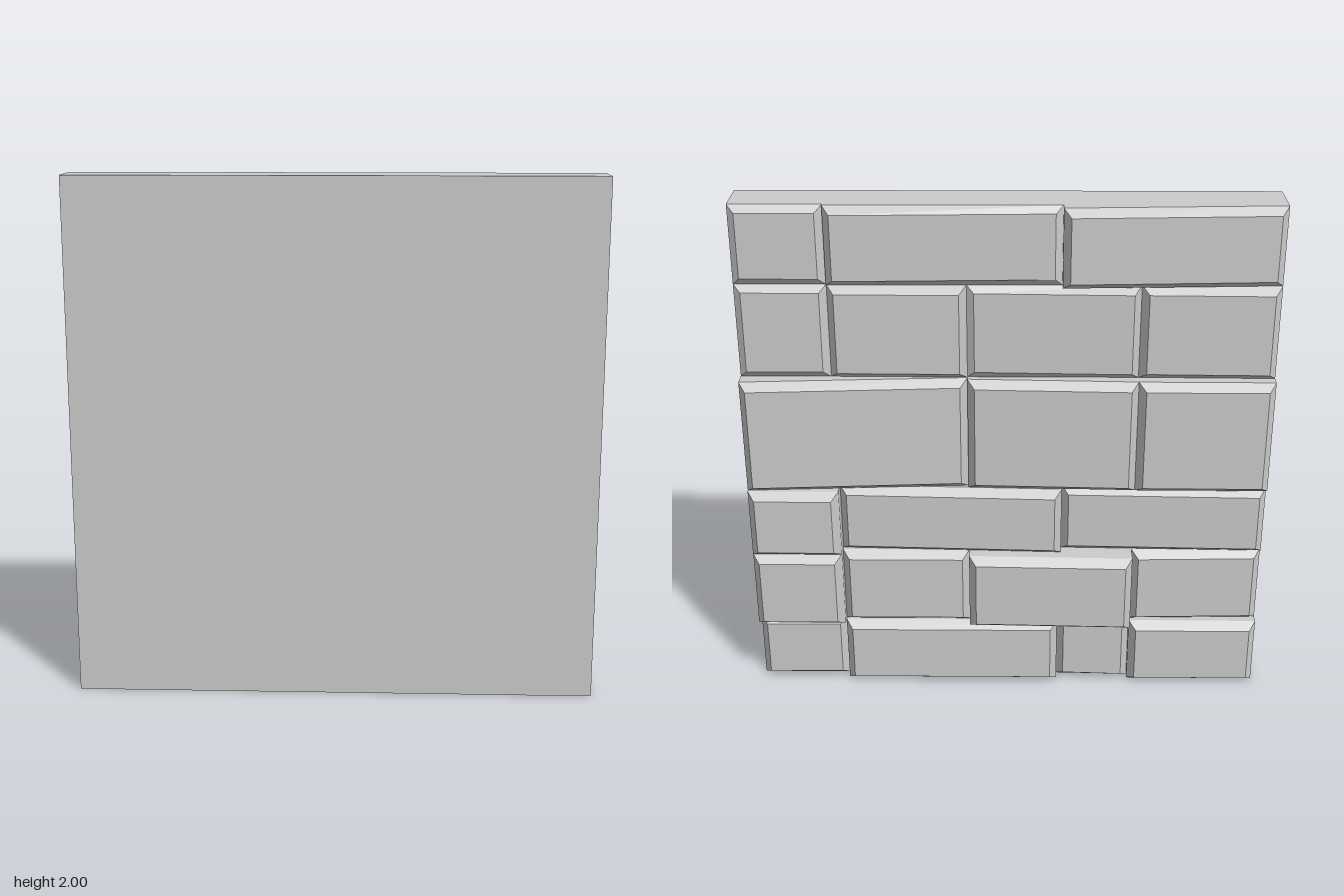
import * as THREE from 'three';

const FRONT = 0.15, BASE = -0.02; // slab front and back planes
const INSET = 0.027, BEVEL = 0.038; // chamfer width and depth

// Courses from bottom to top: [y0, y1, stones], stone = [x0, x1, height at x0, height at x1]
const COURSES = [
  [0, 0.28, [[-1, -0.49, 0.097, 0.095], [-0.49, -0.2, 0.07, 0.06], [-0.2, 0.65, 0.096, 0.096], [0.65, 1, 0.058, 0.06]]],
  [0.28, 0.6, [[-1, -0.49, 0.062, 0.075], [-0.49, 0.15, 0.15, 0.135], [0.15, 0.65, 0.085, 0.085], [0.65, 1, 0.125, 0.125]]],
  [0.6, 0.88, [[-1, -0.21, 0.08, 0.06], [-0.21, 0.65, 0.1, 0.07], [0.65, 1, 0.128, 0.128]]],
  [0.88, 1.335, [[-1, -0.49, 0.108, 0.106], [-0.49, 0.15, 0.105, 0.085], [0.15, 1, 0.07, 0.12]]],
  [1.335, 1.7, [[-1, -0.49, 0.068, 0.06], [-0.49, 0.15, 0.062, 0.046], [0.15, 0.66, 0.066, 0.062], [0.66, 1, 0.048, 0.048]]],
  [1.7, 2, [[-1, -0.2, 0.065, 0.1], [-0.2, 0.66, 0.045, 0.072], [0.66, 1, 0.048, 0.048]]],
];

// Chamfered stone: a box in two layers, its outer layer inset and tilted along x
function stoneGeometry(x0, x1, y0, y1, h0, h1) {
  const geo = new THREE.BoxGeometry(1, 1, 1, 1, 1, 2).toNonIndexed();
  const p = geo.attributes.position;
  for (let i = 0; i < p.count; i++) {
    const right = p.getX(i) > 0, top = p.getY(i) > 0, layer = p.getZ(i);
    const d = layer < -0.1 ? INSET : 0;
    const face = -(right ? h1 : h0);
    const shoulder = Math.min(face + BEVEL, BASE - 0.004);
    const z = layer > 0.1 ? BASE : layer < -0.1 ? face : shoulder;
    p.setXYZ(i, right ? x1 - d : x0 + d, top ? y1 - d : y0 + d, z);
  }
  geo.computeVertexNormals();
  return geo;
}

export function createModel() {
  const group = new THREE.Group();
  group.name = 'stoneWallPanel';
  const material = new THREE.MeshStandardMaterial({ color: 0xcccccc, flatShading: true });

  // Plain backing slab
  const slab = new THREE.Mesh(new THREE.BoxGeometry(2, 2, FRONT - BASE), material);
  slab.name = 'backingSlab';
  slab.position.set(0, 1, (FRONT + BASE) / 2);
  group.add(slab);

  // Courses of uneven stones on the rear
  COURSES.forEach(([y0, y1, stones], row) => {
    const course = new THREE.Group();
    course.name = `stoneCourse${row + 1}`;
    stones.forEach(([x0, x1, h0, h1], i) => {
      const stone = new THREE.Mesh(stoneGeometry(x0, x1, y0, y1, h0, h1), material);
      stone.name = `stone${i + 1}`;
      course.add(stone);
    });
    group.add(course);
  });
  return group;
}
